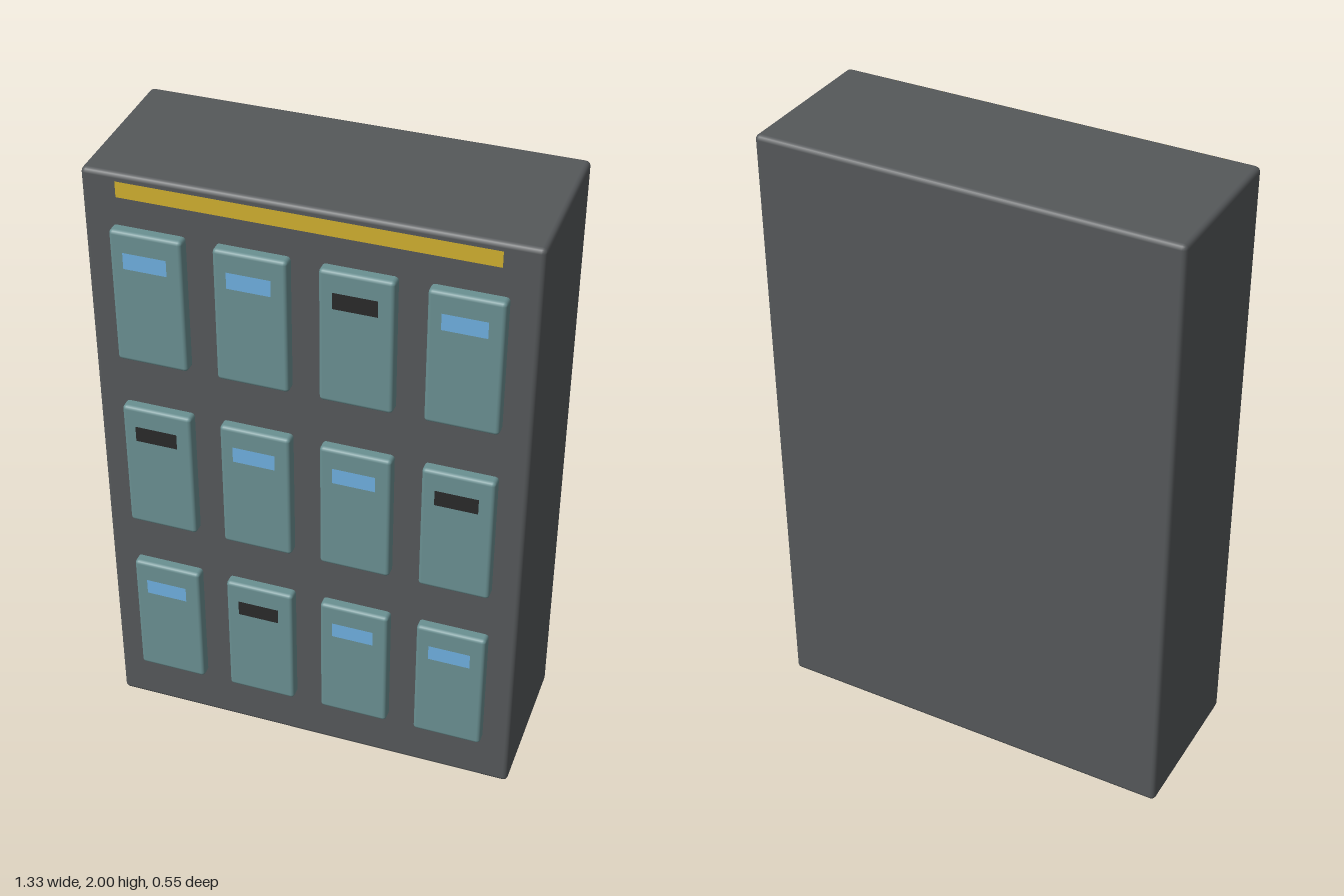
import * as THREE from 'three';
import { RoundedBoxGeometry } from 'three/addons/geometries/RoundedBoxGeometry.js';

const paint = (color) => new THREE.MeshStandardMaterial({ color });

export function createModel() {
  const group = new THREE.Group();
  group.name = 'lockerCabinet';

  const bodyPaint = paint(0x55585a);
  const doorPaint = paint(0x6a9092);
  const freeBlue = paint(0x6fb0e0);
  const darkGrey = paint(0x2a2a2a);
  const yellow = paint(0xd0b030);
  for (const m of [freeBlue, darkGrey, yellow]) m.side = THREE.DoubleSide;

  function add(name, geometry, material, x, y, z, parent = group) {
    const mesh = new THREE.Mesh(geometry, material);
    mesh.name = name;
    mesh.position.set(x, y, z);
    parent.add(mesh);
    return mesh;
  }

  // Cabinet body with softened edges
  add('cabinetBody', new RoundedBoxGeometry(1.33, 2, 0.505, 2, 0.015), bodyPaint, 0, 1, -0.0225);

  // Header strip floating just off the front
  add('headerStrip', new THREE.PlaneGeometry(1.108, 0.05), yellow, 0, 1.96, 0.246);

  // Three rows of four doors, each with a small display; 1 marks a dark display
  const doorGeometry = new RoundedBoxGeometry(0.22, 0.44, 0.06, 2, 0.012);
  const displayGeometry = new THREE.PlaneGeometry(0.132, 0.053);
  const darkDisplays = [
    [0, 0, 1, 0],
    [1, 0, 0, 1],
    [0, 1, 0, 0],
  ];
  darkDisplays.forEach((row, r) => {
    row.forEach((dark, c) => {
      const locker = new THREE.Group();
      locker.name = `locker${r + 1}${c + 1}`;
      locker.position.set((c - 1.5) * 0.311, 1.616 - r * 0.61, 0);
      group.add(locker);
      add('door', doorGeometry, doorPaint, 0, 0, 0.235, locker);
      add('display', displayGeometry, dark ? darkGrey : freeBlue, 0, 0.133, 0.275, locker);
    });
  });

  return group;
}
